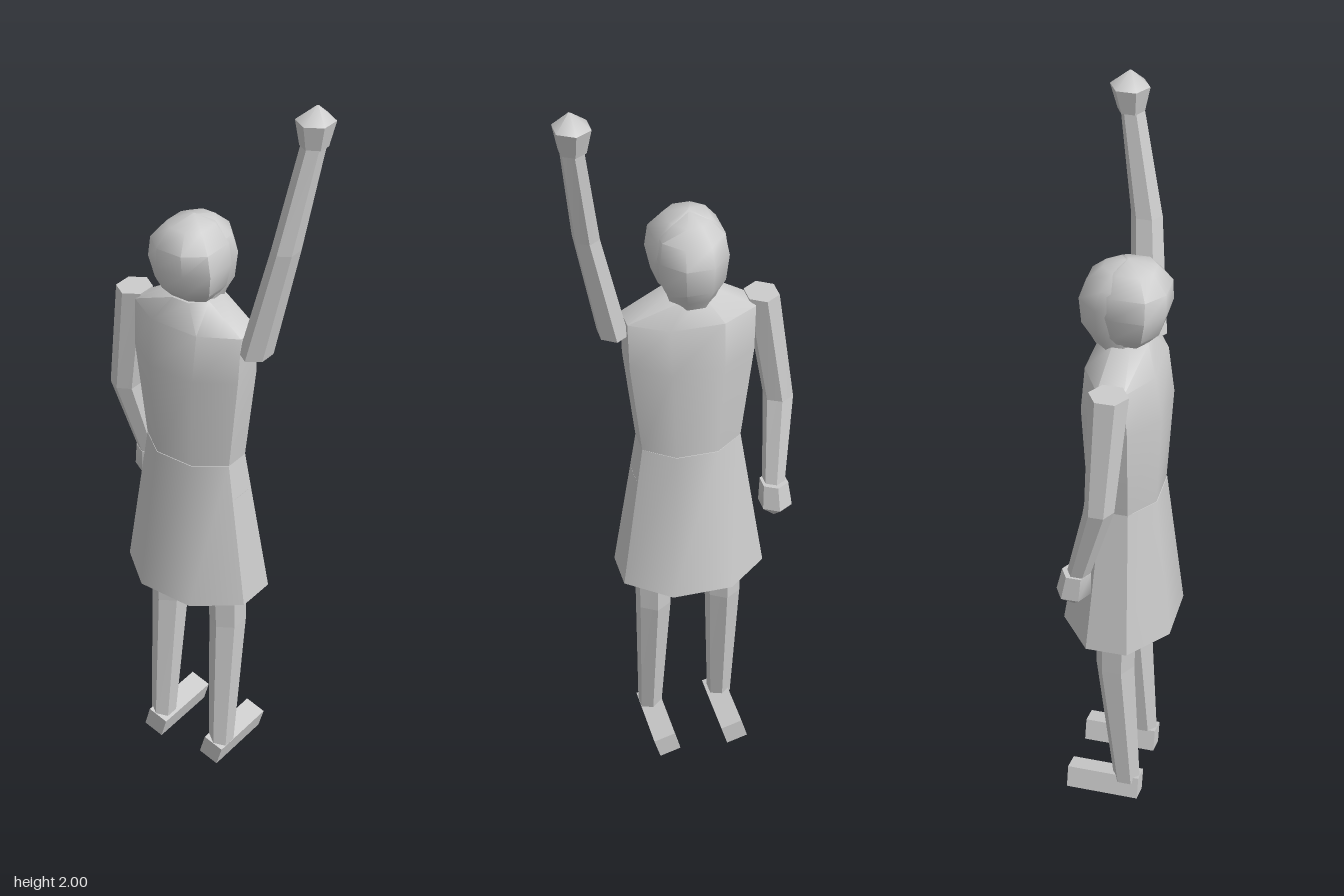
import * as THREE from 'three';
import { toCreasedNormals } from 'three/addons/utils/BufferGeometryUtils.js';

const material = new THREE.MeshStandardMaterial({ color: 0xcccccc });

// Cross-section outlines of unit half-size, as [x, z] in order of angle
const polygon = (n, turn) => Array.from({ length: n }, (_, i) => {
  const a = (i / n) * Math.PI * 2 + turn;
  return [Math.cos(a), Math.sin(a)];
});
const HEX = polygon(6, Math.PI / 6);
const BODY = [[1, 0.38], [0.42, 1], [-0.42, 1], [-1, 0.38], [-1, -0.38], [-0.42, -1], [0.42, -1], [1, -0.38]];
const HAIR = [[1, 0.6], [0.42, 1], [-0.42, 1], [-1, 0.6], [-1, -0.25], [-0.85, -0.45], [0.85, -0.45], [1, -0.25]];

// Closed skin over rings [x, y, z, halfX, halfZ], listed from bottom to top
function loft(name, outline, rings, crease = 0.78) {
  const n = outline.length;
  const pos = [];
  const idx = [];
  for (const [x, y, z, hx, hz = hx] of rings) {
    for (const [u, v] of outline) pos.push(x + u * hx, y, z + v * hz);
  }
  const last = (rings.length - 1) * n;
  const bottom = pos.length / 3;
  const top = bottom + 1;
  const end = rings[rings.length - 1];
  pos.push(rings[0][0], rings[0][1], rings[0][2], end[0], end[1], end[2]);
  for (let i = 0; i < n; i++) {
    const j = (i + 1) % n;
    for (let r = 0; r < last; r += n) {
      idx.push(r + i, r + n + i, r + j, r + j, r + n + i, r + n + j);
    }
    idx.push(bottom, i, j, top, last + j, last + i);
  }
  const geometry = new THREE.BufferGeometry();
  geometry.setAttribute('position', new THREE.Float32BufferAttribute(pos, 3));
  geometry.setIndex(idx);
  const mesh = new THREE.Mesh(toCreasedNormals(geometry, crease), material);
  mesh.name = name;
  return mesh;
}

export function createModel() {
  const model = new THREE.Group();
  model.name = 'wavingFigure';
  const cx = -0.03;

  // Flared skirt and torso with sloping shoulders
  model.add(loft('skirt', BODY, [
    [cx, 0.59, 0.002, 0.19, 0.143],
    [cx, 1.0, 0.01, 0.13, 0.092],
  ]));
  model.add(loft('torso', BODY, [
    [cx, 1.0, 0.01, 0.13, 0.09],
    [cx, 1.26, 0.012, 0.16, 0.102],
    [cx, 1.385, 0.01, 0.163, 0.088],
    [cx, 1.45, 0.01, 0.06, 0.06],
  ]));

  // Face looks toward -z, with hair as a cap around the back and sides
  model.add(loft('head', BODY, [
    [cx, 1.4, 0.005, 0.05, 0.05],
    [cx, 1.455, -0.01, 0.062, 0.065],
    [cx, 1.49, -0.015, 0.078, 0.08],
    [cx, 1.56, -0.015, 0.086, 0.085],
    [cx, 1.61, -0.005, 0.078, 0.078],
    [cx, 1.645, 0.005, 0.045, 0.05],
    [cx, 1.662, 0.015, 0.001],
  ], 0.9));
  model.add(loft('hair', HAIR, [
    [cx, 1.455, 0.015, 0.06, 0.055],
    [cx, 1.485, 0.015, 0.082, 0.082],
    [cx, 1.545, 0.015, 0.094, 0.1],
    [cx, 1.6, 0.015, 0.086, 0.1],
    [cx, 1.645, 0.015, 0.052, 0.065],
    [cx, 1.665, 0.015, 0.001],
  ], 0.9));

  // Lowered right arm and hand
  model.add(loft('rightUpperArm', HEX, [
    [-0.265, 1.09, 0.0, 0.04, 0.038],
    [-0.218, 1.4, 0.013, 0.045, 0.05],
  ]));
  model.add(loft('rightForearm', HEX, [
    [-0.24, 0.86, -0.062, 0.03],
    [-0.265, 1.09, 0.0, 0.04, 0.038],
  ]));
  model.add(loft('rightHand', HEX, [
    [-0.24, 0.76, -0.075, 0.003],
    [-0.242, 0.8, -0.075, 0.045],
    [-0.24, 0.865, -0.067, 0.038],
  ]));

  // Raised left arm and hand
  model.add(loft('leftUpperArm', HEX, [
    [0.16, 1.343, 0.018, 0.04, 0.047],
    [0.225, 1.64, -0.005, 0.034, 0.04],
  ]));
  model.add(loft('leftForearm', HEX, [
    [0.225, 1.64, -0.005, 0.034, 0.04],
    [0.263, 1.91, -0.052, 0.03],
  ]));
  model.add(loft('leftHand', HEX, [
    [0.261, 1.9, -0.054, 0.034],
    [0.262, 1.963, -0.057, 0.047, 0.05],
    [0.266, 2.0, -0.057, 0.003],
  ]));

  // Legs bent slightly at the knee, feet pointing to -z
  for (const [side, x] of [['right', -0.125], ['left', 0.068]]) {
    const out = Math.sign(x);
    model.add(loft(side + 'Thigh', HEX, [
      [x, 0.47, 0.002, 0.048, 0.052],
      [x - out * 0.005, 0.9, 0.01, 0.06, 0.06],
    ]));
    model.add(loft(side + 'Shin', HEX, [
      [x + out * 0.004, 0.06, 0.034, 0.033, 0.037],
      [x, 0.47, 0.002, 0.048, 0.052],
    ]));
    const foot = new THREE.Mesh(new THREE.BoxGeometry(0.06, 0.062, 0.2), material);
    foot.name = side + 'Foot';
    foot.position.set(x - 0.004, 0.04, -0.028);
    foot.rotation.z = -0.28;
    model.add(foot);
  }
  return model;
}
